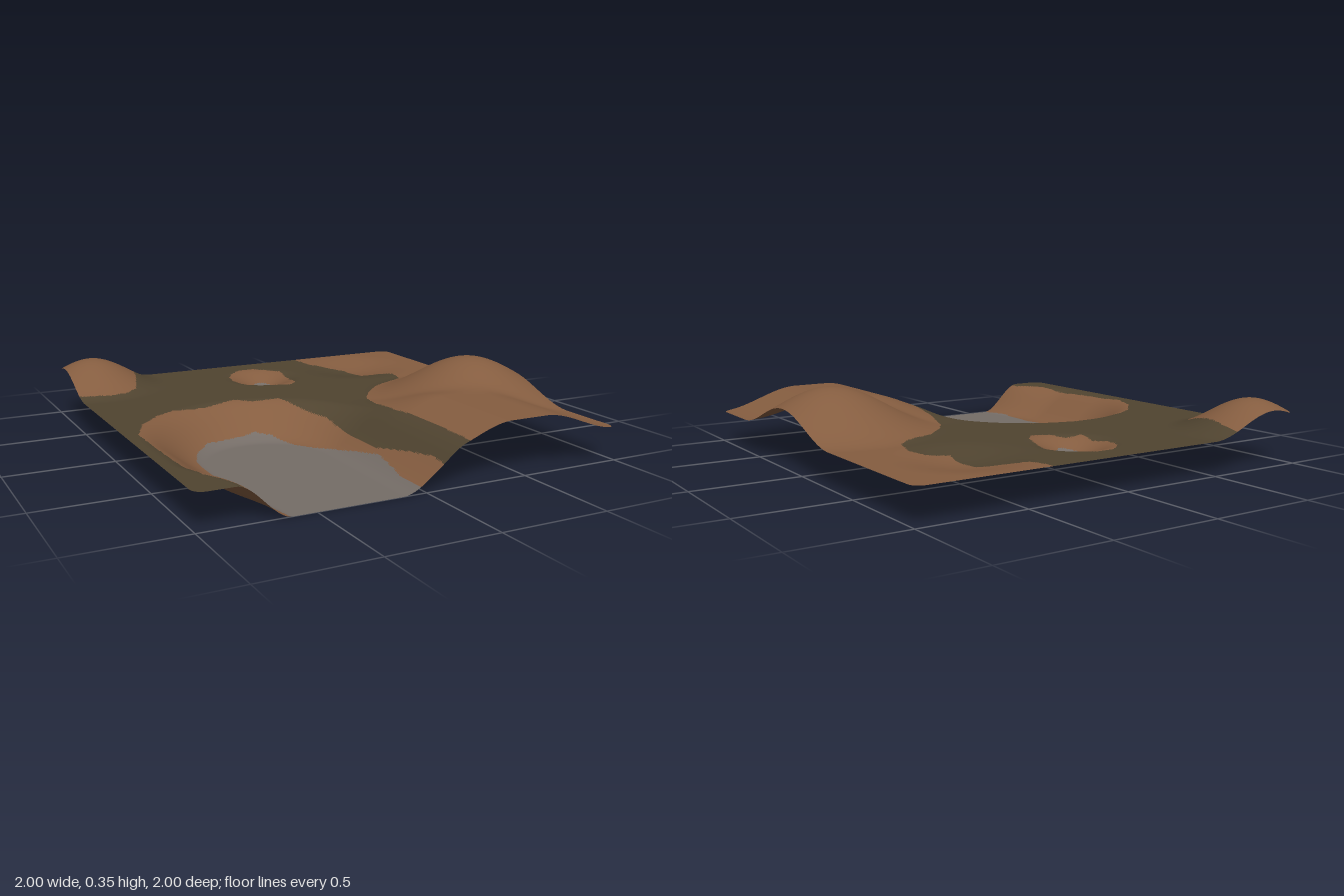
import * as THREE from 'three';

const N = 220;        // grid cells per side
const BASE = 0.154;   // level of the plain
const CORNER = 0.05;  // radius of the sheet's corners

const smooth = THREE.MathUtils.smoothstep;
const bump = (d, r) => (d < r ? 0.5 * (1 + Math.cos((Math.PI * d) / r)) : 0);

// Ground height: plain + hills + ridge - basin - hollows
function height(x, z) {
  const cornerHill = 0.146 * bump(Math.hypot(x + 0.86, z + 0.86), 0.39);

  // Round hill blending into a ridge that runs to the front edge
  const hill = 0.2 * bump(Math.hypot(x - 0.76, z - 0.2), 0.54);
  const ridge = 0.1 * smooth(x, 0.05, 0.42) * (1 - smooth(x, 0.6, 1)) * smooth(z, 0, 0.5);
  const east = Math.pow(hill ** 4 + ridge ** 4, 0.25);

  // Flat-floored basin, rounded at the back and open at the front
  let dx = x + 0.39;
  if (dx < 0) dx *= 1 + 0.3 * smooth(z, 0.6, 1);
  const d = Math.hypot(dx, Math.min(0, z - 0.32));
  const basin = BASE * (1 - smooth(d, 0.28, 0.58));

  const crater = 0.06 * bump(Math.hypot(x - 0.02, z + 0.66), 0.22);
  const hollow = 0.035 * bump(Math.hypot(x - 0.58, z + 0.67), 0.34);
  return BASE + cornerHill + east - basin - crater - hollow;
}

// Painted outlines as [x, z] points
const earthOutlines = [
  // around the basin
  [[-0.8, 1.05], [-0.81, 0.95], [-0.89, 0.8], [-0.92, 0.5], [-0.935, 0.15], [-0.87, 0],
    [-0.76, -0.12], [-0.66, -0.18], [-0.5, -0.2], [-0.32, -0.25], [-0.24, -0.2], [-0.11, -0.18],
    [-0.05, -0.04], [0.02, 0.1], [0.03, 0.3], [0.03, 0.55], [0.07, 0.75], [0.09, 0.9], [0.08, 1.05]],
  // around the crater
  [[-0.145, -0.69], [-0.13, -0.76], [-0.1, -0.81], [-0.03, -0.87], [0.06, -0.87], [0.12, -0.82],
    [0.175, -0.77], [0.16, -0.62], [0.13, -0.48], [0.08, -0.43], [0, -0.46], [-0.05, -0.52],
    [-0.13, -0.53], [-0.12, -0.62]],
  // corner hill
  [[-0.63, -1.05], [-0.63, -0.9], [-0.66, -0.75], [-0.7, -0.62], [-0.76, -0.57], [-0.85, -0.55],
    [-0.95, -0.57], [-1.05, -0.61], [-1.05, -1.05]],
  // eastern hills
  [[0.38, -1.05], [0.38, -0.97], [0.4, -0.87], [0.5, -0.78], [0.56, -0.73], [0.575, -0.6],
    [0.56, -0.52], [0.66, -0.49], [0.7, -0.42], [0.67, -0.3], [0.61, -0.25], [0.45, -0.18],
    [0.35, -0.08], [0.28, 0.02], [0.23, 0.2], [0.21, 0.4], [0.22, 0.6], [0.21, 1.05],
    [1.05, 1.05], [1.05, -1.05]],
];
const rockOutlines = [
  // basin floor
  [[-0.6, 1.05], [-0.65, 0.85], [-0.64, 0.6], [-0.69, 0.4], [-0.69, 0.2], [-0.65, 0.1],
    [-0.56, 0], [-0.44, -0.03], [-0.3, -0.045], [-0.23, 0], [-0.17, 0.13], [-0.07, 0.28],
    [-0.02, 0.45], [0.01, 0.6], [-0.01, 0.75], [-0.03, 0.85], [-0.03, 1.05]],
  // crater floor
  Array.from({ length: 16 }, (_, i) => {
    const a = (i / 16) * Math.PI * 2;
    return [0.025 + 0.053 * Math.cos(a), -0.65 + 0.077 * Math.sin(a)];
  }),
];

function inside(poly, x, z) {
  let hit = false;
  for (let i = 0, j = poly.length - 1; i < poly.length; j = i++) {
    const [xi, zi] = poly[i], [xj, zj] = poly[j];
    if (zi > z !== zj > z && x < ((xj - xi) * (z - zi)) / (zj - zi) + xi) hit = !hit;
  }
  return hit;
}

// Height-mapped sheet with slightly rounded corners
function groundSheet() {
  const geo = new THREE.PlaneGeometry(2, 2, N, N).rotateX(-Math.PI / 2);
  const pos = geo.attributes.position;
  for (let i = 0; i < pos.count; i++) {
    let x = pos.getX(i), z = pos.getZ(i);
    const a = Math.abs(x) - 1 + CORNER, b = Math.abs(z) - 1 + CORNER;
    if (a > 0 && b > 0) {
      const f = Math.max(a, b) / Math.hypot(a, b);
      x = Math.sign(x) * (1 - CORNER + a * f);
      z = Math.sign(z) * (1 - CORNER + b * f);
    }
    pos.setXYZ(i, x, height(x, z), z);
  }
  geo.computeVertexNormals();
  return geo;
}

export function createModel() {
  const group = new THREE.Group();
  group.name = 'terrain';
  const sheet = groundSheet();
  const pos = sheet.attributes.position;
  const idx = sheet.index.array;

  // Sort the triangles by ground cover
  const faces = { grass: [], earth: [], rock: [] };
  for (let t = 0; t < idx.length; t += 3) {
    const tri = [idx[t], idx[t + 1], idx[t + 2]];
    const x = tri.reduce((s, i) => s + pos.getX(i), 0) / 3;
    const z = tri.reduce((s, i) => s + pos.getZ(i), 0) / 3;
    const within = (p) => inside(p, x, z);
    const cover = rockOutlines.some(within) ? 'rock' : earthOutlines.some(within) ? 'earth' : 'grass';
    faces[cover].push(...tri);
  }

  // One mesh per cover, sharing vertices and normals so the surface stays smooth
  const colors = { grass: 0x504430, earth: 0x855d40, rock: 0x756d67 };
  for (const cover of Object.keys(faces)) {
    const geo = new THREE.BufferGeometry();
    geo.setAttribute('position', pos);
    geo.setAttribute('normal', sheet.attributes.normal);
    geo.setIndex(faces[cover]);
    const mat = new THREE.MeshStandardMaterial({ color: colors[cover], side: THREE.DoubleSide });
    mat.name = cover;
    const mesh = new THREE.Mesh(geo, mat);
    mesh.name = cover + 'Ground';
    group.add(mesh);
  }
  return group;
}
